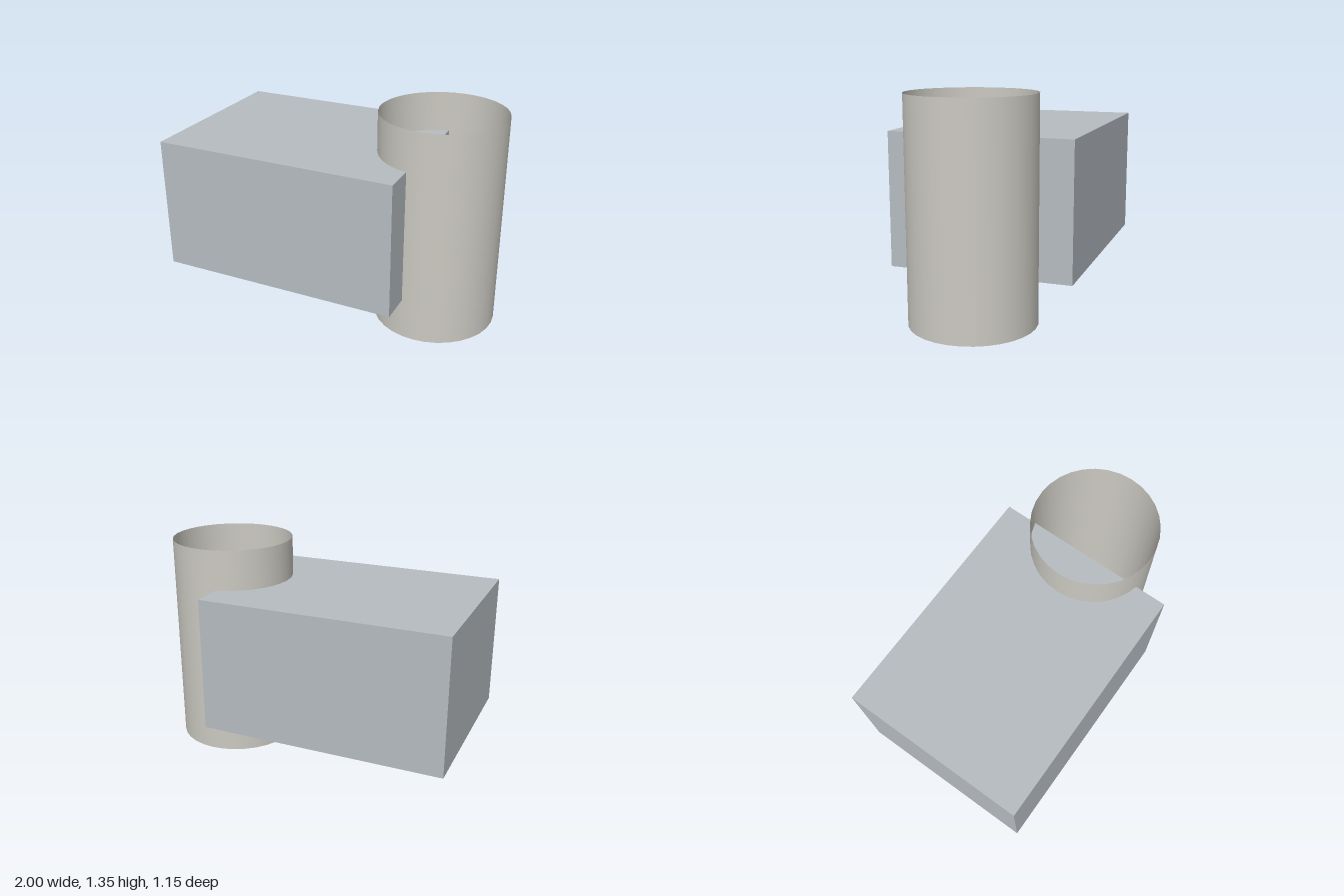
import * as THREE from 'three';

export function createModel() {
  const group = new THREE.Group();

  const add = (name, geometry, material, x, y, z) => {
    const mesh = new THREE.Mesh(geometry, material);
    mesh.name = name;
    mesh.position.set(x, y, z);
    group.add(mesh);
  };

  // Rectangular body, its end reaching into the tube
  add('body', new THREE.BoxGeometry(1.535, 0.84, 1.152),
    new THREE.MeshStandardMaterial({ color: 0xb6bcc1 }), -0.2325, 0.675, 0);

  // Upright thin-walled tube, open at both ends
  add('tube', new THREE.CylinderGeometry(0.384, 0.384, 1.346, 32, 1, true),
    new THREE.MeshStandardMaterial({ color: 0xcbc9c1, side: THREE.DoubleSide }), 0.616, 0.673, 0);

  return group;
}
